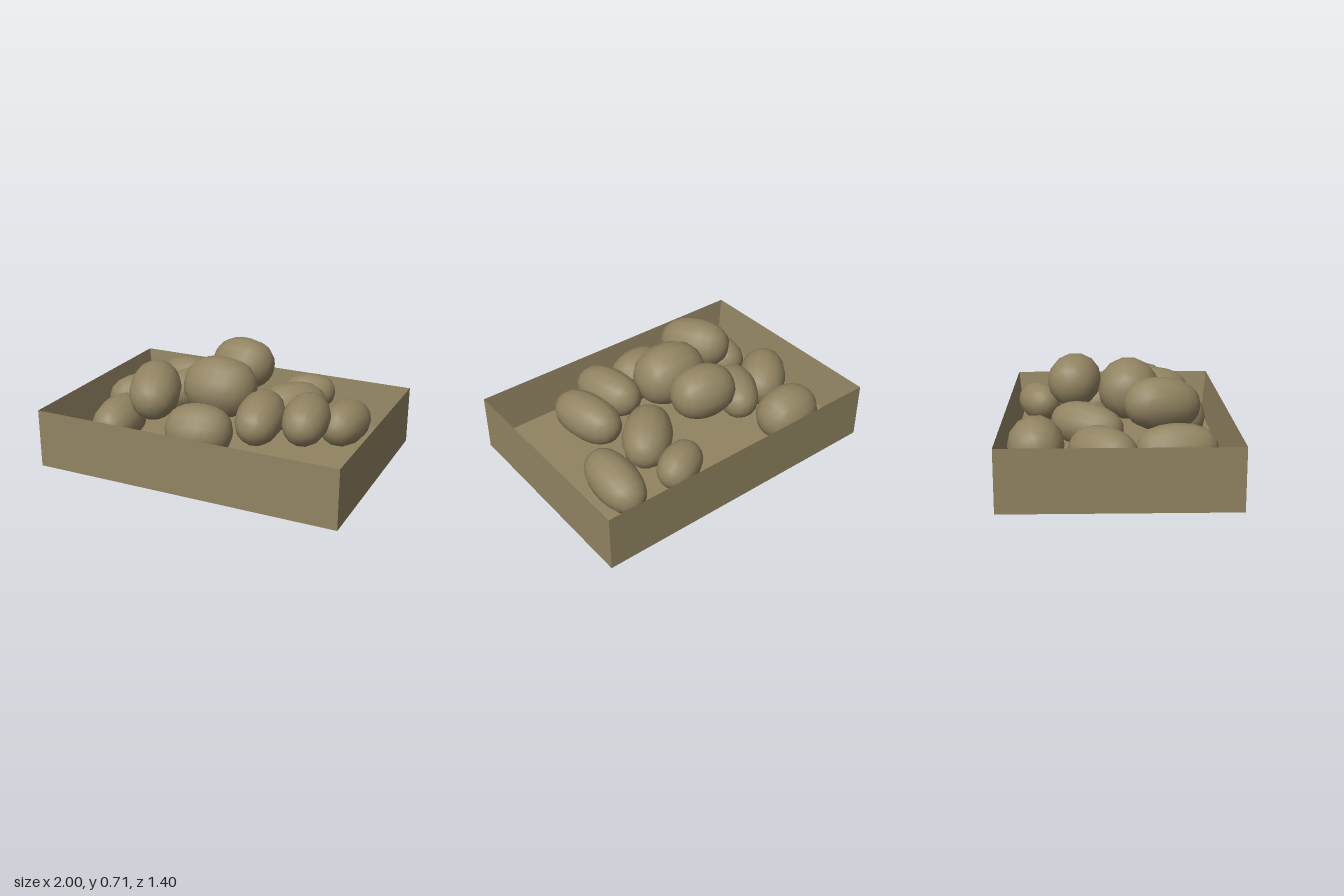
import * as THREE from 'three';

const brown = new THREE.MeshStandardMaterial({ color: 0x928462, side: THREE.DoubleSide });
brown.name = 'earthBrown';

// Four-sided open sleeve with a 1 : 0.7 plan; sizes are half-widths in x.
function sleeve(name, top, bottom, y0, y1) {
  const g = new THREE.CylinderGeometry(top * Math.SQRT2, bottom * Math.SQRT2, y1 - y0, 4, 1, true)
    .rotateY(Math.PI / 4)
    .scale(1, 1, 0.7)
    .translate(0, (y0 + y1) / 2, 0)
    .toNonIndexed();
  g.computeVertexNormals();
  const mesh = new THREE.Mesh(g, brown);
  mesh.name = name;
  return mesh;
}

// Unit potato lying along x: blunt ends with a small flat tip.
function potatoGeometry() {
  const half = [[0.0, 1], [0.24, 0.99], [0.56, 0.89], [0.8, 0.69], [0.94, 0.42], [1, 0.14]];
  const profile = [
    ...half.map(([r, t]) => new THREE.Vector2(r, -t)),
    ...half.slice().reverse().map(([r, t]) => new THREE.Vector2(r, t)),
  ];
  return new THREE.LatheGeometry(profile, 14).rotateZ(Math.PI / 2);
}

// x, y, z, half length, radius, yaw and pitch in degrees
const potatoes = [
  [-0.55, 0.27, -0.49, 0.21, 0.17, 5, 0],
  [-0.70, 0.26, -0.09, 0.23, 0.158, 45, 0],
  [-0.375, 0.34, -0.185, 0.238, 0.138, 60, 5],
  [-0.395, 0.475, 0.27, 0.24, 0.163, -68, -8],
  [-0.62, 0.26, 0.345, 0.245, 0.15, -83, 0],
  [-0.02, 0.545, -0.265, 0.205, 0.168, -8, 0],
  [-0.025, 0.49, 0.08, 0.235, 0.195, 0, 0],
  [-0.02, 0.31, 0.40, 0.21, 0.168, 10, 0],
  [0.355, 0.315, -0.515, 0.173, 0.125, 27, 0],
  [0.355, 0.325, -0.19, 0.235, 0.157, 48, 0],
  [0.69, 0.225, -0.31, 0.245, 0.145, 88, -6],
  [0.33, 0.405, 0.255, 0.24, 0.145, -80, -4],
  [0.58, 0.39, 0.125, 0.243, 0.145, -79, 0],
];

export function createModel() {
  const model = new THREE.Group();
  model.name = 'potatoCrate';

  // Crate: upright outer walls, inner walls tapering to a raised floor
  const crate = new THREE.Group();
  crate.name = 'crate';
  const floorY = 0.08, floorHalf = 0.955;
  crate.add(sleeve('outerWalls', 1, 1, 0, 0.38));
  crate.add(sleeve('innerWalls', 1, floorHalf, floorY, 0.38));
  const floor = new THREE.Mesh(
    new THREE.PlaneGeometry(2 * floorHalf, 1.4 * floorHalf).rotateX(-Math.PI / 2), brown);
  floor.position.y = floorY;
  floor.name = 'floor';
  crate.add(floor);
  model.add(crate);

  // Heap of potatoes
  const heap = new THREE.Group();
  heap.name = 'potatoHeap';
  const geometry = potatoGeometry();
  potatoes.forEach(([x, y, z, length, radius, yaw, pitch], i) => {
    const potato = new THREE.Mesh(geometry, brown);
    potato.name = 'potato' + (i + 1);
    potato.position.set(x, y, z);
    potato.scale.set(length, radius, radius);
    potato.rotation.set(0, THREE.MathUtils.degToRad(yaw), THREE.MathUtils.degToRad(pitch), 'YZX');
    heap.add(potato);
  });
  model.add(heap);
  return model;
}
